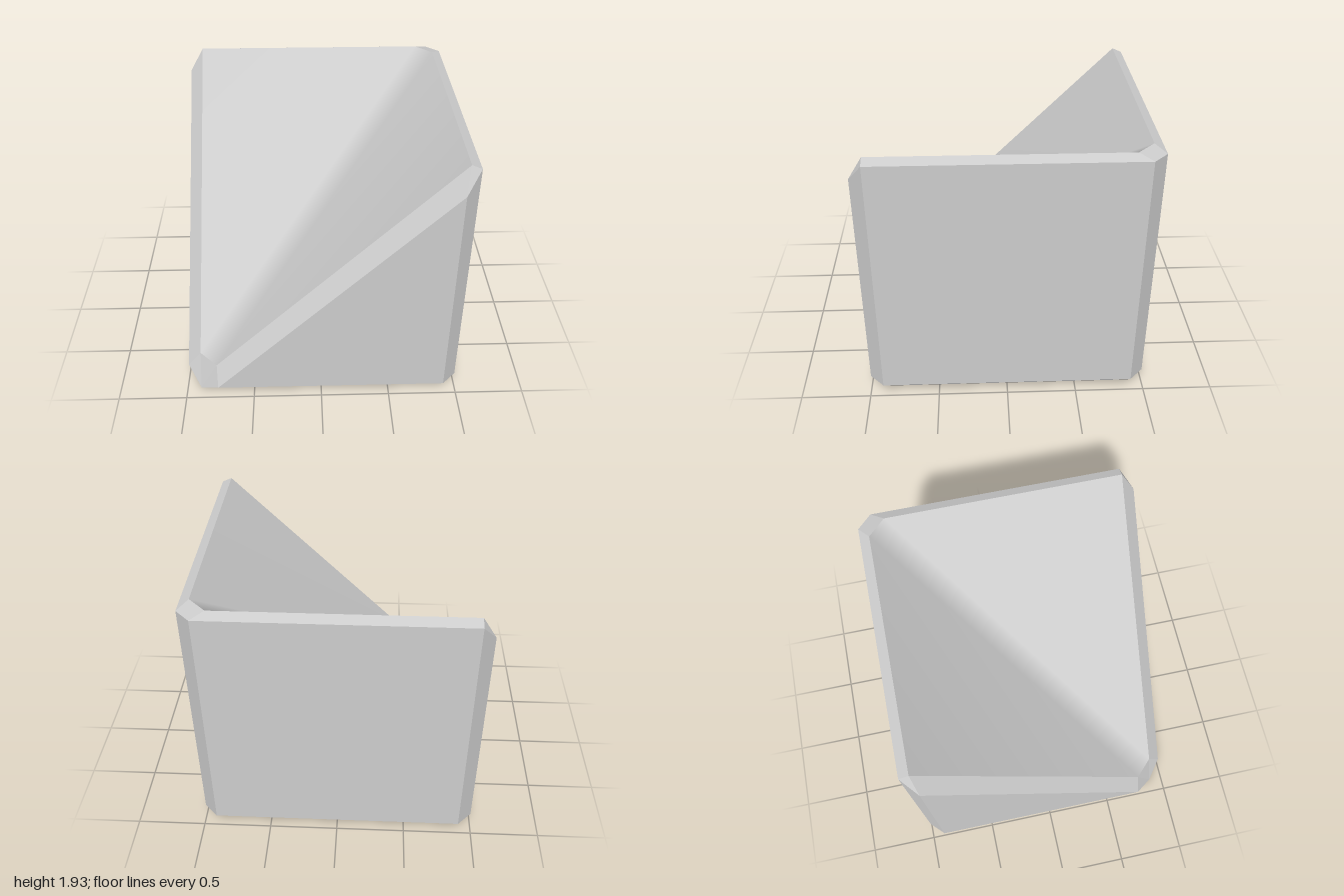
import * as THREE from 'three';
import { mergeVertices } from 'three/addons/utils/BufferGeometryUtils.js';

// Point inside the block, used to turn every face outward
const CORE = new THREE.Vector3(0.3, 0.6, -0.3);

// The block is symmetric about the vertical plane x = -z
const mirror = ([x, y, z]) => [-z, y, -x];
const both = (faces) => faces.concat(faces.map((f) => f.map(mirror)));

function buildMesh(name, faces, material, smooth = false) {
  const pos = [];
  const v = (p) => new THREE.Vector3(...p);
  for (const face of faces) {
    for (let i = 1; i < face.length - 1; i++) {
      const [a, b, c] = [v(face[0]), v(face[i]), v(face[i + 1])];
      const normal = b.clone().sub(a).cross(c.clone().sub(a));
      const order = normal.dot(a.clone().sub(CORE)) > 0 ? [a, b, c] : [a, c, b];
      order.forEach((p) => pos.push(p.x, p.y, p.z));
    }
  }
  let geometry = new THREE.BufferGeometry();
  geometry.setAttribute('position', new THREE.Float32BufferAttribute(pos, 3));
  if (smooth) geometry = mergeVertices(geometry);
  geometry.computeVertexNormals();
  const mesh = new THREE.Mesh(geometry, material);
  mesh.name = name;
  return mesh;
}

export function createModel() {
  const grey = new THREE.MeshStandardMaterial({ color: 0xcccccc });
  grey.name = 'light grey';

  // Bottom corners
  const footRight = [0.9, 0, 0.9];
  const footBack = [0.9, 0, -0.9];
  const footLow = [-0.9, 0, 0.9];
  // Front wall triangle
  const frontLow = [-0.76, 0.1, 1];
  const frontBase = [0.9, 0.1, 1];
  const frontTop = [0.9, 1.76, 1];
  // Full-height side wall
  const sideBaseF = [1, 0.1, 0.9];
  const sideBaseB = [1, 0.1, -0.9];
  const sideTopB = [1, 1.9, -0.9];
  const sideTopF = [1, 1.9, 0.9];
  // Ramp rising toward the side wall
  const rampFront = [0.93, 1.93, 0.9];
  const rampBack = [0.93, 1.93, -0.81];
  const rampLow = [-0.77, 0.23, 0.9];

  const walls = both([
    [frontLow, frontBase, frontTop],
    [sideBaseF, sideBaseB, sideTopB, sideTopF],
  ]);
  const floor = [[footRight, footBack, mirror(footRight), footLow]];

  const bevels = both([
    [footLow, footRight, frontBase, frontLow],        // under the triangular wall
    [footRight, footBack, sideBaseB, sideBaseF],      // under the full wall
    [footRight, sideBaseF, frontBase],                // bottom corner
    [frontBase, sideBaseF, sideTopF, frontTop],       // upright edge
    [frontTop, sideTopF, rampFront],                  // top corner
    [frontLow, frontTop, rampFront, rampLow],         // sloping edge
    [sideTopF, sideTopB, rampBack, rampFront],        // top rim
  ]).concat([
    [sideBaseB, sideTopB, mirror(sideTopB), mirror(sideBaseB)], // tall back edge
    [footBack, sideBaseB, mirror(sideBaseB)],                   // back bottom corner
    [sideTopB, rampBack, mirror(rampBack), mirror(sideTopB)],   // back top corner
    [footLow, frontLow, rampLow, mirror(rampLow), mirror(frontLow)], // low corner
  ]);

  // Two ramps meeting in a softened valley
  const ramps = both([[rampFront, rampBack, rampLow]]).concat([
    [rampBack, mirror(rampBack), mirror(rampLow), rampLow],
  ]);

  const group = new THREE.Group();
  group.name = 'innerCornerRamp';
  group.add(
    buildMesh('walls', walls, grey),
    buildMesh('floor', floor, grey),
    buildMesh('bevels', bevels, grey),
    buildMesh('ramps', ramps, grey, true),
  );
  return group;
}
